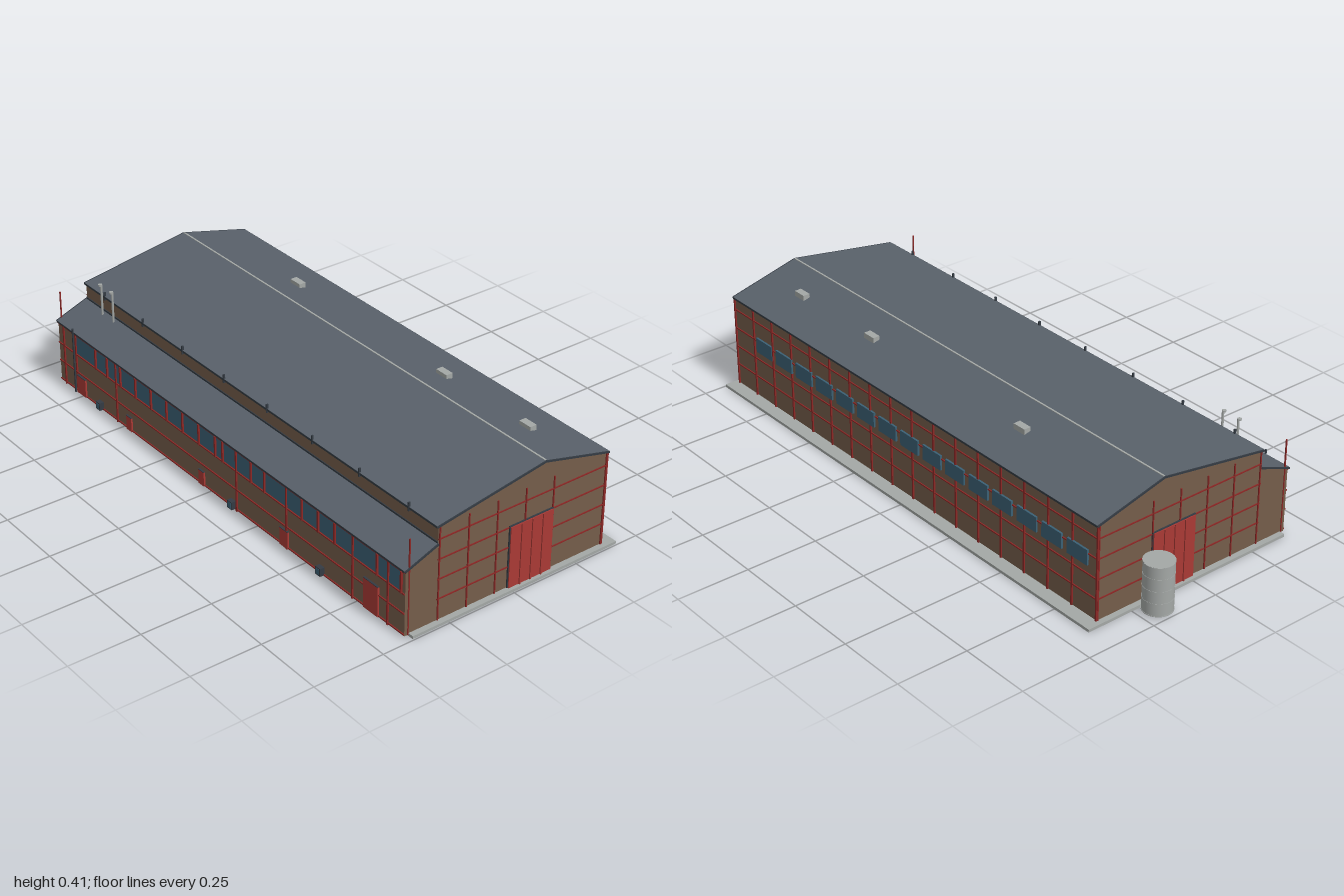
import * as THREE from 'three';

const mat = (name, color, side = THREE.FrontSide) => {
  const m = new THREE.MeshStandardMaterial({ color, side });
  m.name = name;
  return m;
};

export function createModel() {
  const root = new THREE.Group();
  root.name = 'industrialHall';
  const wall = mat('brownCladding', 0x745d4a);
  const roof = mat('slateRoof', 0x59616a);
  const red = mat('redDoor', 0xa93a35);
  const frame = mat('redFrame', 0x8c2826);
  const glass = mat('blueGlass', 0x3b6074);
  const concrete = mat('concreteGrey', 0xa4a8a6);
  const trim = mat('darkTrim', 0x343b43);

  const X0 = -0.885, X1 = 0.975, ZF = 0.403, ZM = 0.285, ZB = -0.372;
  const XM = (X0 + X1) / 2, L = X1 - X0;

  const add = (name, geo, m, parent = root) => {
    const mesh = new THREE.Mesh(geo, m);
    mesh.name = name;
    parent.add(mesh);
    return mesh;
  };
  const group = (name) => {
    const g = new THREE.Group();
    g.name = name;
    root.add(g);
    return g;
  };
  // box given by its lower and upper limits on each axis
  const box = (name, x0, x1, y0, y1, z0, z1, m, parent) => {
    const mesh = add(name, new THREE.BoxGeometry(x1 - x0, y1 - y0, z1 - z0), m, parent);
    mesh.position.set((x0 + x1) / 2, (y0 + y1) / 2, (z0 + z1) / 2);
    return mesh;
  };
  // [z, y] cross-section drawn out along x
  const prism = (name, pts, x0, x1, m) => {
    const s = new THREE.Shape(pts.map(([z, y]) => new THREE.Vector2(z, y)));
    const geo = new THREE.ExtrudeGeometry(s, { depth: x1 - x0, bevelEnabled: false });
    geo.rotateY(-Math.PI / 2).translate(x1, 0, 0);
    return add(name, geo, m);
  };

  // ground slab and hall body
  box('groundSlab', -0.905, 0.995, 0, 0.01, -0.42, 0.387, concrete);
  prism('hallWalls', [[ZB, 0.005], [ZF, 0.005], [ZF, 0.232], [ZM, 0.278], [ZM, 0.339],
    [-0.12, 0.403], [ZB, 0.339]], X0, X1, wall);

  // roof planes with dark eaves and a ridge cap
  const plane = (name, z0, y0, z1, y1) =>
    prism(name, [[z0, y0 - 0.005], [z1, y1 - 0.005], [z1, y1], [z0, y0]], X0 - 0.003, X1 + 0.003, roof);
  plane('frontRoof', -0.12, 0.408, 0.291, 0.343);
  plane('backRoof', -0.379, 0.343, -0.12, 0.408);
  plane('annexRoof', ZM, 0.283, 0.408, 0.236);
  box('ridgeCap', X0, X1, 0.405, 0.4095, -0.1235, -0.1175, concrete);
  box('frontEave', X0, X1, 0.336, 0.343, 0.286, 0.292, trim);
  box('backEave', X0, X1, 0.336, 0.343, -0.38, -0.373, trim);
  box('annexEave', X0, X1, 0.23, 0.236, 0.403, 0.409, trim);
  box('clerestoryFlashing', X0, X1, 0.28, 0.288, ZM, 0.288, trim);
  for (let i = 0; i < 8; i++) {
    const x = X0 + 0.12 + i * 0.23;
    box('eaveBracket', x, x + 0.005, 0.328, 0.358, 0.286, 0.293, trim);
  }

  // roof vents
  for (const x of [-0.38, 0.38, 0.77]) {
    box('roofVent', x - 0.025, x + 0.025, 0.368, 0.395, -0.248, -0.223, concrete);
  }

  // front wall: window band, rails, mullions, doors
  const front = group('frontFacade');
  box('windowBand', -0.78, 0.962, 0.157, 0.226, ZF - 0.002, ZF + 0.001, glass, front);
  for (const y of [0.012, 0.085, 0.153, 0.228]) {
    box('rail', X0, X1, y - 0.002, y + 0.002, ZF - 0.002, ZF + 0.004, frame, front);
  }
  for (const x of [-0.85, -0.775, -0.53, 0.15, 0.41, 0.735, 0.9]) {
    box('post', x - 0.003, x + 0.003, 0.005, 0.232, ZF - 0.002, ZF + 0.005, frame, front);
  }
  for (const x of [-0.65, -0.58, -0.5, -0.41, -0.32, -0.23, -0.14, -0.05, 0.04, 0.08,
    0.23, 0.3, 0.49, 0.57, 0.65, 0.85, 0.96]) {
    box('mullion', x - 0.003, x + 0.003, 0.153, 0.228, ZF - 0.002, ZF + 0.007, frame, front);
  }
  for (const [x0, x1, h] of [[-0.775, -0.722, 0.075], [-0.472, -0.442, 0.06], [-0.055, -0.025, 0.06],
    [0.378, 0.42, 0.07], [0.79, 0.858, 0.113]]) {
    box('frontDoor', x0, x1, 0.008, h, ZF - 0.002, ZF + 0.006, red, front);
    box('doorHead', x0, x1, h, h + 0.002, ZF - 0.002, ZF + 0.007, trim, front);
  }
  for (const x of [-0.63, 0.13, 0.585]) {
    box('utilityBox', x - 0.012, x + 0.012, 0.01, 0.038, ZF, 0.42, trim, front);
    box('utilityPanel', x - 0.008, x + 0.008, 0.014, 0.034, 0.418, 0.421, glass, front);
  }
  box('downpipe', -0.785, -0.78, 0.005, 0.25, 0.408, 0.413, trim, front);

  // back wall: rails, posts and a row of windows
  const back = group('backFacade');
  for (const y of [0.085, 0.155, 0.225, 0.295]) {
    box('rail', X0, X1, y - 0.002, y + 0.002, ZB - 0.004, ZB + 0.002, frame, back);
  }
  for (let i = 0; i <= 17; i++) {
    const x = X0 + (L * i) / 17;
    box('post', x - 0.003, x + 0.003, 0.01, 0.339, ZB - 0.005, ZB + 0.002, frame, back);
  }
  for (let i = 0; i < 15; i++) {
    const x = -0.8 + i * 0.1145;
    box('backWindow', x - 0.045, x + 0.045, 0.185, 0.238, ZB - 0.007, ZB + 0.001, glass, back);
  }

  // gable ends: rails, posts and a tall door
  for (const [name, x, s] of [['leftGable', X1, 1], ['rightGable', X0, -1]]) {
    const g = group(name);
    const plate = (part, y0, y1, z0, z1, t, m) =>
      box(part, Math.min(x, x + s * t), Math.max(x, x + s * t), y0, y1, z0, z1, m, g);
    for (const y of [0.085, 0.155, 0.225, 0.295]) {
      plate('rail', y - 0.002, y + 0.002, ZB, ZM, 0.003, frame);
    }
    for (const z of [0.28, 0.17, 0.06, -0.05, -0.16, -0.37]) {
      plate('post', 0.01, 0.339, z - 0.002, z + 0.002, 0.004, frame);
    }
    plate('doorFrame', 0.01, 0.23, -0.162, 0.012, 0.005, trim);
    plate('gableDoor', 0.01, 0.227, -0.159, 0.009, 0.008, red);
    for (const z of [-0.117, -0.075, -0.033]) {
      plate('doorRib', 0.01, 0.227, z - 0.002, z + 0.002, 0.012, red);
    }
    box('cornerMast', x - 0.002, x + 0.002, 0.005, 0.34, 0.388, 0.392, frame, g);
    // sloped verge trim along the gable
    for (const [z0, y0, z1, y1] of [[-0.12, 0.408, 0.291, 0.343], [-0.379, 0.343, -0.12, 0.408],
      [ZM, 0.283, 0.408, 0.236]]) {
      const v = box('vergeTrim', -0.002, 0.002, -0.003, 0.003,
        -Math.hypot(z1 - z0, y1 - y0) / 2, Math.hypot(z1 - z0, y1 - y0) / 2, trim, g);
      v.position.set(x + s * 0.003, (y0 + y1) / 2 - 0.003, (z0 + z1) / 2);
      v.rotation.x = -Math.atan2(y1 - y0, z1 - z0);
    }
  }

  // flues on the annex roof
  for (const x of [-0.765, -0.698]) {
    const pipe = add('fluePipe', new THREE.CylinderGeometry(0.004, 0.004, 0.115, 10), concrete);
    pipe.position.set(x, 0.333, 0.3);
    const cap = add('flueCap', new THREE.CylinderGeometry(0.007, 0.007, 0.006, 10), concrete);
    cap.position.set(x, 0.389, 0.304);
  }

  // storage tank with hoops
  const tank = group('storageTank');
  tank.position.set(-0.95, 0, -0.19);
  add('tankBody', new THREE.CylinderGeometry(0.049, 0.049, 0.172, 32), concrete, tank).position.y = 0.096;
  for (const y of [0.012, 0.055, 0.097, 0.14, 0.18]) {
    add('tankHoop', new THREE.CylinderGeometry(0.05, 0.05, 0.003, 32), concrete, tank).position.y = y;
  }
  return root;
}
